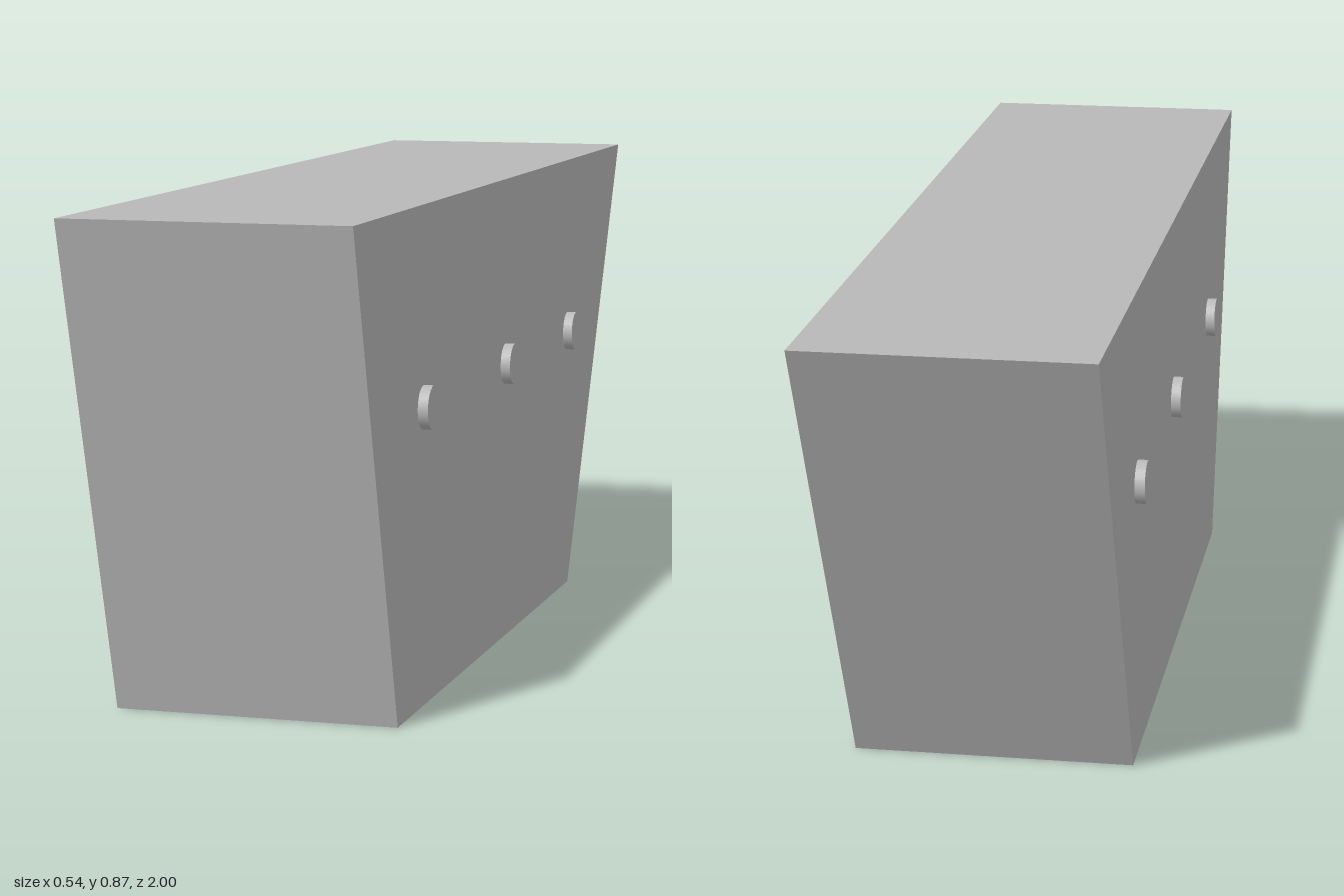
import * as THREE from 'three';

export function createModel() {
  const group = new THREE.Group();
  const grey = new THREE.MeshStandardMaterial({ color: 0xb8b8b8 });
  grey.name = 'grey';

  // Tapered body: side profile in (z, y), extruded across the width
  const width = 0.5;
  const profile = new THREE.Shape([
    new THREE.Vector2(0.74, 0),
    new THREE.Vector2(1, 0.865),
    new THREE.Vector2(-1, 0.865),
    new THREE.Vector2(-0.54, 0),
  ]);
  const bodyGeometry = new THREE.ExtrudeGeometry(profile, { depth: width, bevelEnabled: false });
  bodyGeometry.translate(0, 0, -width / 2).rotateY(-Math.PI / 2);
  const body = new THREE.Mesh(bodyGeometry, grey);
  body.name = 'body';
  group.add(body);

  // Three round pins through the body, showing as short studs on both sides
  const pinGeometry = new THREE.CylinderGeometry(0.038, 0.038, 0.536, 24).rotateZ(Math.PI / 2);
  const pins = { frontPin: 0.58, middlePin: 0, backPin: -0.52 };
  for (const [name, z] of Object.entries(pins)) {
    const pin = new THREE.Mesh(pinGeometry, grey);
    pin.name = name;
    pin.position.set(0, 0.52, z);
    group.add(pin);
  }

  return group;
}
